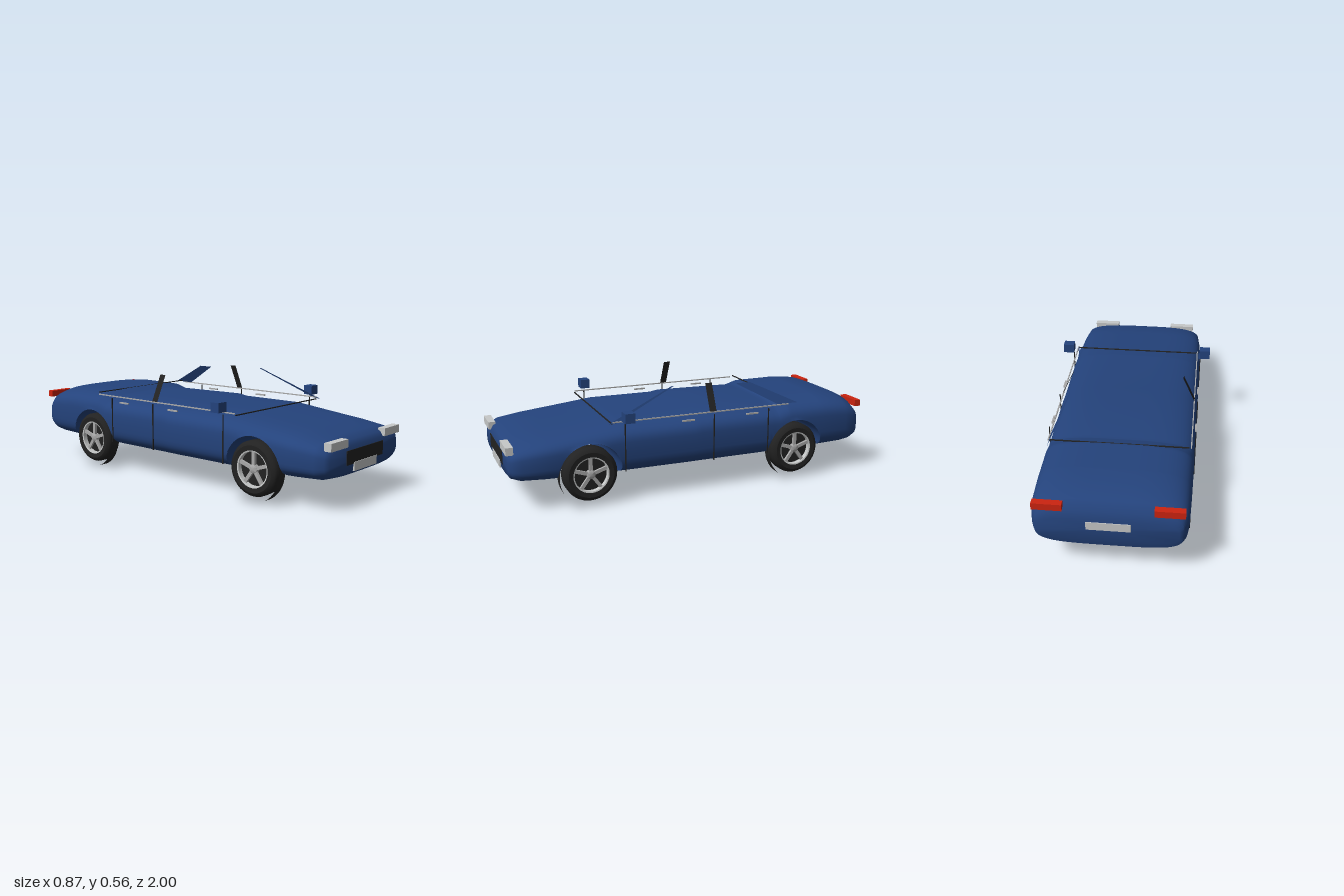
import * as THREE from 'three';
import { toCreasedNormals } from 'three/addons/utils/BufferGeometryUtils.js';

const mat = (name, color, side = THREE.FrontSide) => {
  const m = new THREE.MeshStandardMaterial({ color, side });
  m.name = name;
  return m;
};

const AXLES = [0.588, -0.58], WHEEL_Y = 0.165, ARCH_R = 0.165;

// Body stations: z, top, bottom, half width
const STATIONS = [
  [-0.995, 0.32, 0.2, 0.33], [-0.985, 0.365, 0.165, 0.35], [-0.95, 0.405, 0.145, 0.366],
  [-0.9, 0.424, 0.137, 0.373], [-0.76, 0.437, 0.132, 0.376], [-0.54, 0.435, 0.13, 0.378],
  [-0.47, 0.413, 0.128, 0.378], [-0.02, 0.421, 0.126, 0.378], [0.03, 0.412, 0.126, 0.378],
  [0.4, 0.412, 0.127, 0.378], [0.6, 0.388, 0.13, 0.376], [0.8, 0.365, 0.135, 0.372],
  [0.93, 0.346, 0.142, 0.36], [0.975, 0.325, 0.157, 0.338], [0.99, 0.3, 0.178, 0.315],
];

function sample(z) {
  let i = 0;
  while (i < STATIONS.length - 2 && z > STATIONS[i + 1][0]) i++;
  const a = STATIONS[i], b = STATIONS[i + 1], t = (z - a[0]) / (b[0] - a[0]);
  return [1, 2, 3].map(k => a[k] + (b[k] - a[k]) * t);
}

// Lofted body with the wheel arches cut across its underside
function bodyGeometry() {
  const zs = STATIONS.map(s => s[0]), N = 64, pos = [], idx = [];
  for (const c of AXLES) {
    for (let i = 0; i <= 24; i++) zs.push(c + ARCH_R * Math.cos(Math.PI * i / 24));
    zs.push(c - ARCH_R - 0.0005, c + ARCH_R + 0.0005);
  }
  zs.sort((a, b) => a - b);
  const spow = (v, p) => Math.sign(v) * Math.abs(v) ** p;
  for (const z of zs) {
    const [top, bottom, w] = sample(z), mid = bottom + (top - bottom) * 0.53;
    let low = bottom;
    for (const c of AXLES) {
      const d = Math.abs(z - c);
      if (d <= ARCH_R + 1e-6) low = WHEEL_Y + Math.sqrt(Math.max(0, ARCH_R ** 2 - d * d));
    }
    for (let j = 0; j < N; j++) {
      const t = j / N * Math.PI * 2, s = Math.sin(t), p = s > 0 ? 2 / 3.6 : 2 / 4;
      const y = mid + (s > 0 ? top - mid : mid - bottom) * spow(s, p);
      pos.push(w * spow(Math.cos(t), p), Math.max(y, low), z);
    }
  }
  const rows = zs.length;
  for (let i = 0; i < rows - 1; i++) for (let j = 0; j < N; j++) {
    const k = (j + 1) % N, a = i * N + j, b = i * N + k, c = b + N, d = a + N;
    idx.push(a, b, c, a, c, d);
  }
  // End caps
  const back = pos.length / 3;
  pos.push(0, 0.27, -0.998, 0, 0.24, 0.993);
  for (let j = 0; j < N; j++) {
    const k = (j + 1) % N, f = (rows - 1) * N;
    idx.push(back, k, j, back + 1, f + j, f + k);
  }
  const g = new THREE.BufferGeometry();
  g.setAttribute('position', new THREE.Float32BufferAttribute(pos, 3));
  g.setIndex(idx);
  return toCreasedNormals(g, 0.7);
}

// Flat panel through four corners
function quadGeometry(corners) {
  const g = new THREE.BufferGeometry();
  g.setAttribute('position', new THREE.Float32BufferAttribute(corners.flat(), 3));
  g.setIndex([0, 1, 2, 0, 2, 3]);
  g.computeVertexNormals();
  return g;
}

export function createModel() {
  const car = new THREE.Group();
  car.name = 'car';
  const blue = mat('blue paint', 0x24437c);
  const bluePanel = mat('blue panel', 0x24437c, THREE.DoubleSide);
  const black = mat('black trim', 0x222222);
  const blackPanel = mat('black panel', 0x222222, THREE.DoubleSide);
  const silver = mat('silver', 0xa8a8a8);
  const pale = mat('pale grey', 0xc6c8c8);
  const red = mat('red lamp', 0xcc2410);

  const add = (parent, name, geo, material) => {
    const m = new THREE.Mesh(geo, material);
    m.name = name;
    parent.add(m);
    return m;
  };
  // Box from its lower and upper limits on each axis
  const box = (name, material, x0, x1, y0, y1, z0, z1) => {
    const m = add(car, name, new THREE.BoxGeometry(Math.abs(x1 - x0), y1 - y0, z1 - z0), material);
    m.position.set((x0 + x1) / 2, (y0 + y1) / 2, (z0 + z1) / 2);
  };

  add(car, 'body', bodyGeometry(), blue);

  // Front and rear details
  box('grille', black, -0.17, 0.17, 0.21, 0.28, 0.985, 0.994);
  box('frontPlate', pale, -0.106, 0.106, 0.173, 0.217, 0.987, 0.997);
  box('rearPlate', pale, -0.105, 0.105, 0.265, 0.308, -0.9995, -0.99);
  box('windscreenBase', black, -0.355, 0.355, 0.412, 0.417, 0.468, 0.474);
  box('rearWindowBase', black, -0.35, 0.35, 0.43, 0.435, -0.543, -0.537);

  // Paired details
  for (const s of [-1, 1]) {
    box('headlight', pale, s * 0.173, s * 0.32, 0.3, 0.34, 0.962, 1);
    box('tailLight', red, s * 0.212, s * 0.355, 0.365, 0.4, -1, -0.965);
    box('mirror', blue, s * 0.374, s * 0.434, 0.43, 0.48, 0.375, 0.427);
    box('windowSill', silver, s * 0.357, s * 0.363, 0.42, 0.426, -0.53, 0.47);
    for (const z of [0.41, -0.08, -0.4])
      box('doorSeam', black, s * 0.376, s * 0.381, 0.165, 0.415, z - 0.0025, z + 0.0025);
    for (const z of [0.065, -0.303])
      box('doorHandle', silver, s * 0.372, s * 0.381, 0.392, 0.4, z - 0.034, z + 0.034);
    add(car, 'middlePillar', quadGeometry([
      [s * 0.362, 0.425, -0.062], [s * 0.362, 0.425, -0.1],
      [s * 0.297, 0.565, -0.1], [s * 0.297, 0.565, -0.062]]), blackPanel);
  }

  // Windscreen and rear pillars on the left side
  add(car, 'frontPillar', quadGeometry([
    [0.362, 0.417, 0.49], [0.362, 0.417, 0.455],
    [0.296, 0.565, 0.115], [0.296, 0.565, 0.13]]), bluePanel);
  add(car, 'rearPillar', quadGeometry([
    [0.355, 0.425, -0.47], [0.355, 0.425, -0.59],
    [0.288, 0.546, -0.33], [0.288, 0.546, -0.245]]), bluePanel);

  // Wheels: lathe profiles turned onto the x axis, outer face towards +x
  const lathe = pts => {
    const g = new THREE.LatheGeometry(pts.map(p => new THREE.Vector2(...p)), 40);
    g.rotateZ(-Math.PI / 2);
    return toCreasedNormals(g, 0.6);
  };
  const tyreGeo = lathe([[0.094, -0.045], [0.118, -0.046], [0.133, -0.038], [0.14, -0.025],
    [0.14, 0.025], [0.133, 0.038], [0.118, 0.046], [0.094, 0.043]]);
  const rimGeo = lathe([[0.087, 0.015], [0.087, 0.041], [0.095, 0.043]].reverse());
  const discGeo = lathe([[0.095, 0.012], [0, 0.012]]);
  const innerGeo = lathe([[0, -0.03], [0.085, -0.03], [0.088, -0.045], [0.095, -0.045]]);
  const hubGeo = lathe([[0.022, 0.01], [0.022, 0.036], [0.016, 0.04], [0, 0.04]]);
  const spokeGeo = new THREE.BoxGeometry(0.014, 0.074, 0.018).translate(0.028, 0.053, 0);
  const archGeo = new THREE.CylinderGeometry(0.164, 0.164, 0.048, 48, 1, true).rotateZ(Math.PI / 2);

  for (const s of [-1, 1]) for (const z of AXLES) {
    const wheel = new THREE.Group();
    wheel.name = 'wheel';
    wheel.position.set(s * 0.328, WHEEL_Y, z);
    if (s < 0) wheel.rotation.y = Math.PI;
    add(wheel, 'tyre', tyreGeo, black);
    add(wheel, 'rim', rimGeo, pale);
    add(wheel, 'wheelDisc', discGeo, black);
    add(wheel, 'innerRim', innerGeo, pale);
    add(wheel, 'hub', hubGeo, silver);
    for (let i = 0; i < 5; i++)
      add(wheel, 'spoke', spokeGeo, silver).rotation.x = i * Math.PI * 0.4;
    add(wheel, 'archLip', archGeo, black).position.x = 0.022;
    car.add(wheel);
  }
  // Rest the arch lips on the ground
  car.children.forEach(c => { c.position.y -= 0.001; });
  return car;
}
